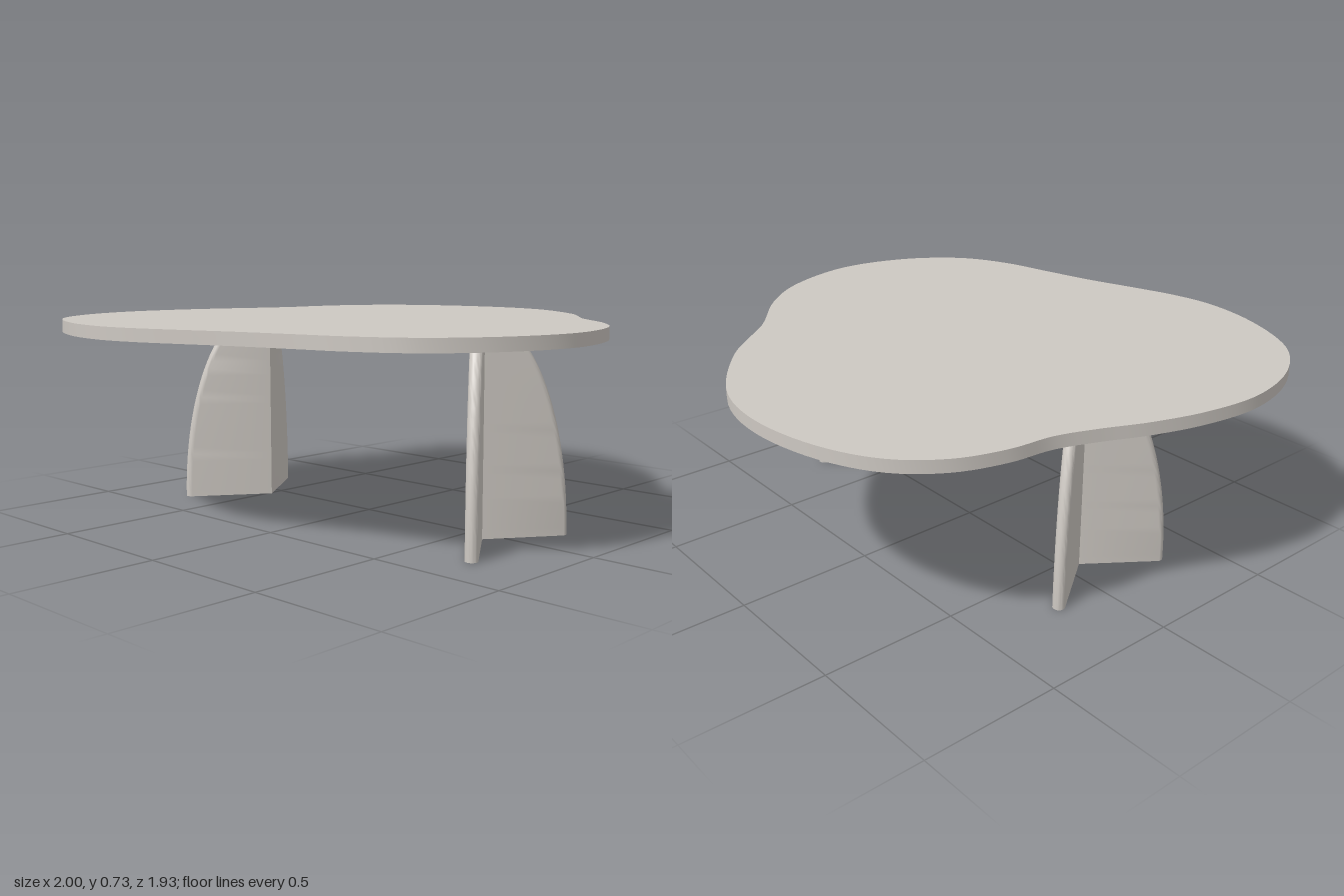
import * as THREE from 'three';
import { toCreasedNormals } from 'three/addons/utils/BufferGeometryUtils.js';

const TOP_Y = 0.73, TOP_THICK = 0.045, LEG_HEIGHT = TOP_Y - TOP_THICK;

// Flat organic slab: a smooth closed outline given as x, z pairs
function topGeometry() {
  const outline = [
    [-0.12, -0.968], [0.12, -0.925], [0.4, -0.74], [0.5, -0.63], [0.6, -0.51], [0.8, -0.34],
    [0.93, -0.16], [1, 0.13], [0.93, 0.41], [0.78, 0.61], [0.6, 0.71], [0.4, 0.765],
    [0.2, 0.82], [0, 0.89], [-0.16, 0.94], [-0.32, 0.962], [-0.55, 0.925], [-0.8, 0.8],
    [-0.94, 0.61], [-1, 0.38], [-0.98, 0.16], [-0.92, -0.04], [-0.85, -0.2], [-0.8, -0.34],
    [-0.78, -0.5], [-0.72, -0.67], [-0.6, -0.815], [-0.4, -0.92],
  ].map(([x, z]) => new THREE.Vector3(x, z, 0));
  const points = new THREE.CatmullRomCurve3(outline, true).getPoints(168).slice(0, -1);
  const shape = new THREE.Shape(points.map((p) => new THREE.Vector2(p.x, p.y)));
  const geo = new THREE.ExtrudeGeometry(shape, { depth: TOP_THICK, bevelEnabled: false });
  geo.rotateX(Math.PI / 2).translate(0, TOP_Y, 0);
  return toCreasedNormals(geo, 0.6);
}

// V-shaped leg: two panels with round outer edges that curve inwards towards the top
function legGeometry() {
  const r = 0.022, reach = 0.303, angle = 0.946, curveHeight = 0.753;
  const cos = Math.cos(angle), sin = Math.sin(angle);

  // Plan of the V, opening towards +x
  const arm = [];
  for (let i = 0; i <= 10; i++) {
    const a = angle - Math.PI / 2 + (i / 10) * Math.PI;
    arm.push(new THREE.Vector2(reach * cos + r * Math.cos(a), reach * sin + r * Math.sin(a)));
  }
  const mirrored = arm.map((p) => new THREE.Vector2(p.x, -p.y)).reverse();
  const plan = [
    new THREE.Vector2(r / sin, 0), ...arm,
    new THREE.Vector2(-r / sin, 0), ...mirrored,
  ];
  const geo = new THREE.ExtrudeGeometry(new THREE.Shape(plan), {
    depth: LEG_HEIGHT, steps: 24, bevelEnabled: false,
  });
  geo.rotateX(Math.PI / 2).translate(0, LEG_HEIGHT, 0);

  // Slide the outer edges in along each arm, following an elliptical arc
  const pos = geo.attributes.position;
  for (let i = 0; i < pos.count; i++) {
    const x = pos.getX(i), y = pos.getY(i), z = pos.getZ(i);
    if (Math.abs(z) < 0.1) continue;
    const slide = reach * (Math.sqrt(1 - (y / curveHeight) ** 2) - 1);
    pos.setXYZ(i, x + slide * cos, y, z + Math.sign(z) * slide * sin);
  }
  return toCreasedNormals(geo, 0.6);
}

export function createModel() {
  const stone = new THREE.MeshStandardMaterial({ color: 0xcdc8c2 });
  stone.name = 'warmGrey';
  const model = new THREE.Group();
  model.name = 'table';

  const top = new THREE.Mesh(topGeometry(), stone);
  top.name = 'tableTop';
  model.add(top);

  // Two legs, each opening outwards
  const legGeo = legGeometry();
  for (const [name, x, turn] of [['leftLeg', 0.567, 0], ['rightLeg', -0.515, Math.PI]]) {
    const leg = new THREE.Mesh(legGeo, stone);
    leg.name = name;
    leg.position.set(x, 0, 0.062);
    leg.rotation.y = turn;
    model.add(leg);
  }
  return model;
}
